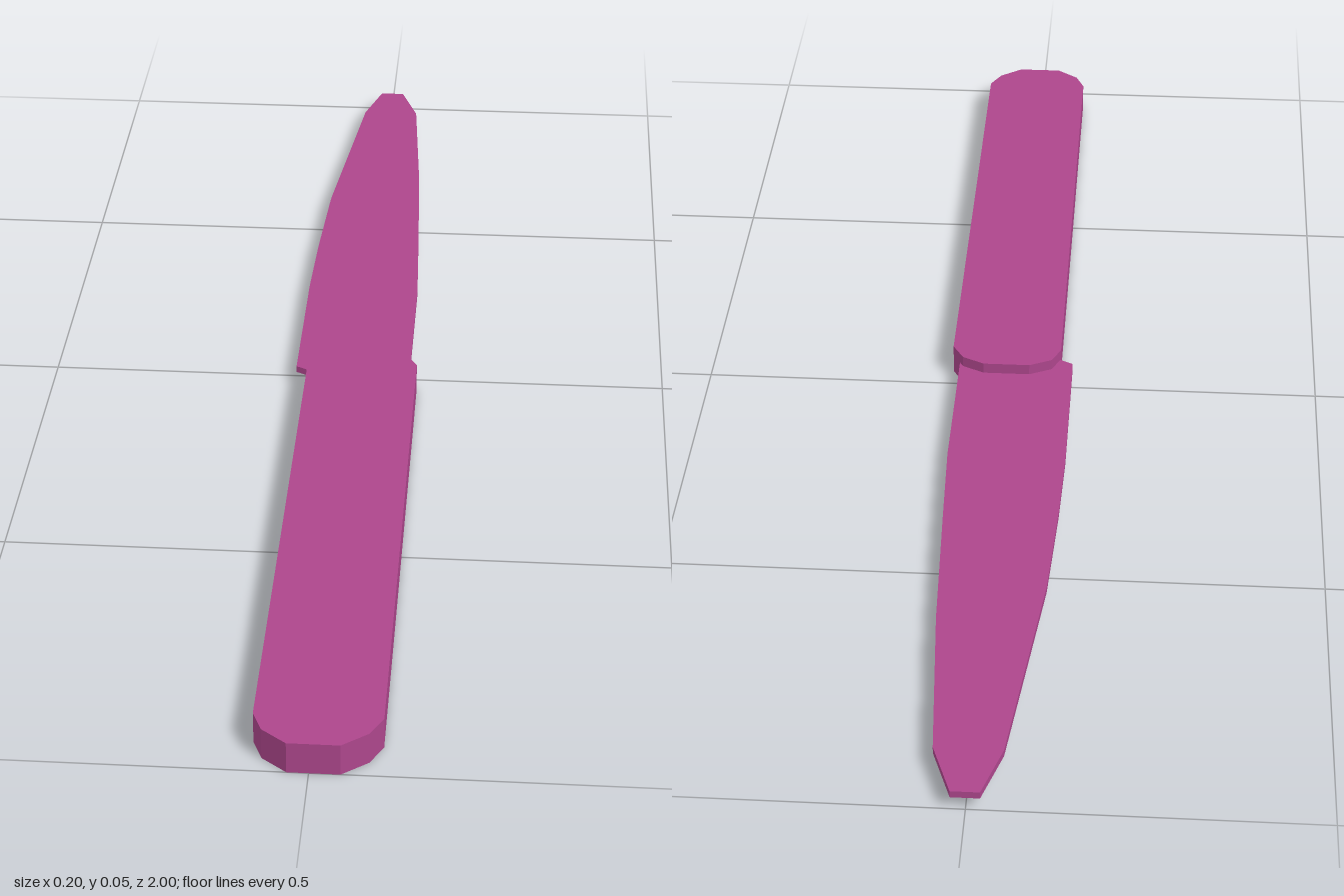
import * as THREE from 'three';

const material = new THREE.MeshStandardMaterial({ color: 0xad468c, flatShading: true });

// Flat slab from an outline of [x, z] points, spanning heights y0 to y1
function slab(name, outline, y0, y1) {
  const shape = new THREE.Shape(outline.map(([x, z]) => new THREE.Vector2(x, z)));
  const geometry = new THREE.ExtrudeGeometry(shape, { depth: y1 - y0, bevelEnabled: false });
  geometry.rotateX(Math.PI / 2).translate(0, y1, 0);
  const mesh = new THREE.Mesh(geometry, material);
  mesh.name = name;
  return mesh;
}

export function createModel() {
  const knife = new THREE.Group();
  knife.name = 'knife';

  // Handle with chamfered, rounded ends
  knife.add(slab('handle', [
    [-0.08, 0.94], [-0.08, 0.035], [-0.066, 0.005], [-0.03, -0.012],
    [0.045, -0.012], [0.08, 0.005], [0.098, 0.035],
    [0.098, 0.94], [0.08, 0.973], [0.043, 1], [-0.03, 1], [-0.066, 0.973],
  ], 0, 0.05));

  // Thin tapering blade, its heel tucked into the handle
  knife.add(slab('blade', [
    [-0.02, -1], [0.021, -1], [0.051, -0.915], [0.07, -0.64], [0.08, -0.4],
    [0.086, -0.24], [0.086, 0.02], [0.06, 0.035], [-0.075, 0.035], [-0.1, 0.022],
    [-0.1, -0.24], [-0.096, -0.38], [-0.087, -0.56], [-0.047, -0.915],
  ], 0.021, 0.032));

  return knife;
}
